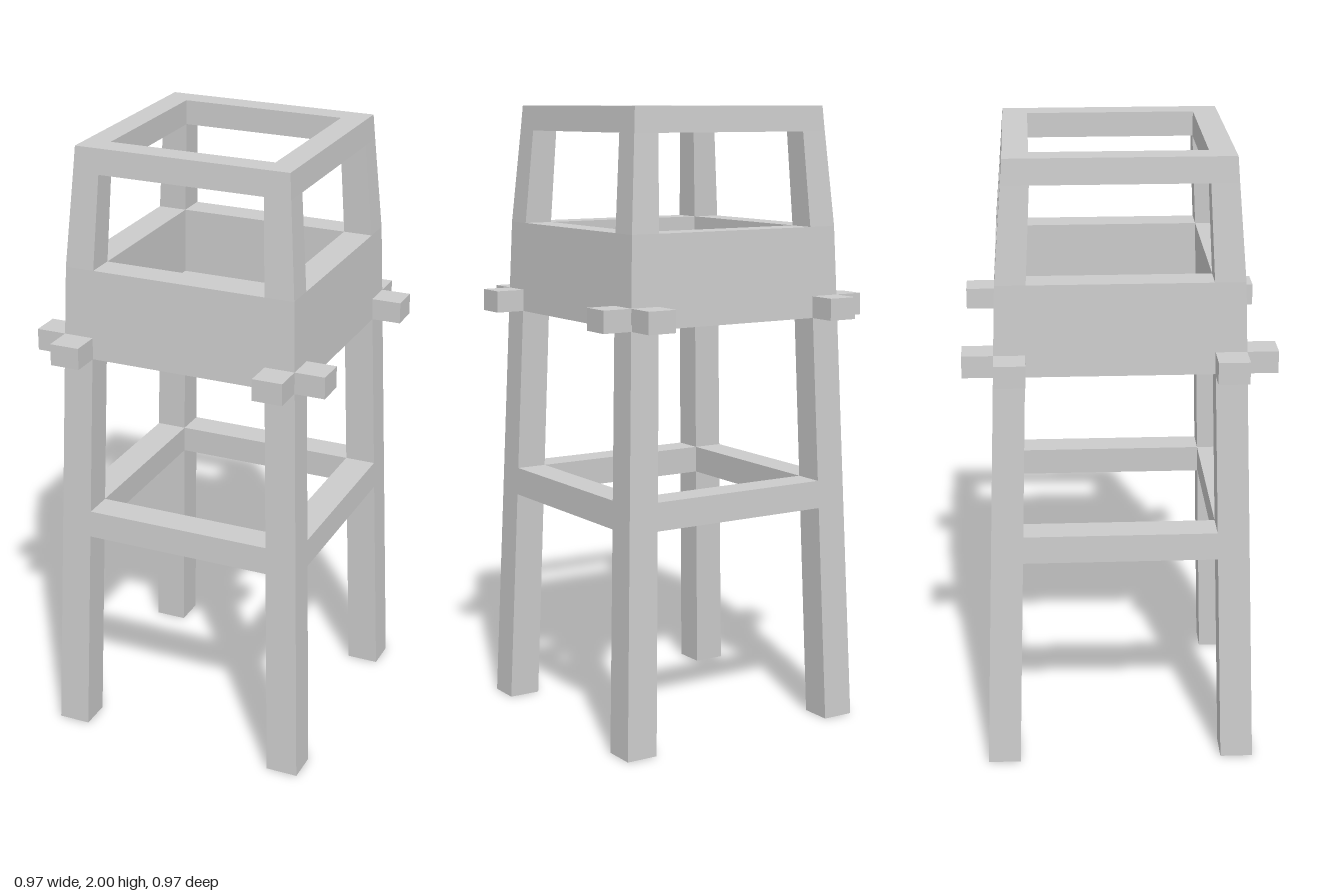
import * as THREE from 'three';

const material = new THREE.MeshStandardMaterial({ color: 0xcccccc, flatShading: true });

// Tower silhouette: [height, outer half-width, inner half-width]
const PROFILE = [[0, 0.435, 0.33], [1.33, 0.39, 0.292], [1.62, 0.38, 0.285], [1.92, 0.356, 0.27], [2, 0.35, 0.27]];

function widthAt(y, column) {
  const k = Math.max(1, PROFILE.findIndex((p) => p[0] >= y));
  const a = PROFILE[k - 1], b = PROFILE[k];
  return THREE.MathUtils.mapLinear(y, a[0], b[0], a[column], b[column]);
}
const outer = (y) => widthAt(y, 1);
const inner = (y) => widthAt(y, 2);

function addMesh(parent, name, geometry) {
  const mesh = new THREE.Mesh(geometry, material);
  mesh.name = name;
  parent.add(mesh);
  return mesh;
}

// Square solid swept from a [half-width, height] outline
function squareLathe(outline) {
  const points = outline.map(([w, y]) => new THREE.Vector2(w * Math.SQRT2, y));
  const geometry = new THREE.LatheGeometry(points, 4, Math.PI / 4).toNonIndexed();
  geometry.computeVertexNormals();
  return geometry;
}

// Hollow square frame that follows the silhouette
function frame(y0, y1) {
  return squareLathe([
    [outer(y0), y0], [outer(y1), y1], [inner(y1), y1], [inner(y0), y0], [outer(y0), y0],
  ]);
}

// Leaning corner post between two heights
function post(y0, y1) {
  const geometry = new THREE.BoxGeometry(1, 1, 1);
  const p = geometry.attributes.position;
  for (let i = 0; i < p.count; i++) {
    const y = p.getY(i) > 0 ? y1 : y0;
    const place = (v) => (v > 0 ? outer(y) : inner(y));
    p.setXYZ(i, place(p.getX(i)), y, place(p.getZ(i)));
  }
  geometry.computeVertexNormals();
  return geometry;
}

export function createModel() {
  const tower = new THREE.Group();
  tower.name = 'watchtower';

  // Cabin: floor slab with solid lower walls
  addMesh(tower, 'cabinWalls', squareLathe([
    [0, 1.33], [outer(1.33), 1.33], [outer(1.62), 1.62],
    [inner(1.62), 1.62], [inner(1.4), 1.4], [0, 1.4],
  ]));
  addMesh(tower, 'topFrame', frame(1.92, 2));
  addMesh(tower, 'braceFrame', frame(0.71, 0.8));

  // Four identical corners and sides
  const legGeometry = post(0, 1.33);
  const postGeometry = post(1.62, 1.92);
  const beamGeometry = new THREE.BoxGeometry(0.097, 0.07, 0.125);
  for (let i = 0; i < 4; i++) {
    const side = new THREE.Group();
    side.name = `side${i + 1}`;
    side.rotation.y = (i * Math.PI) / 2;
    tower.add(side);
    addMesh(side, 'leg', legGeometry);
    addMesh(side, 'windowPost', postGeometry);
    // Floor beam ends sticking out of the wall
    for (const s of [-1, 1]) {
      addMesh(side, 'beamEnd', beamGeometry).position.set(s * 0.339, 1.365, 0.4225);
    }
  }
  return tower;
}
